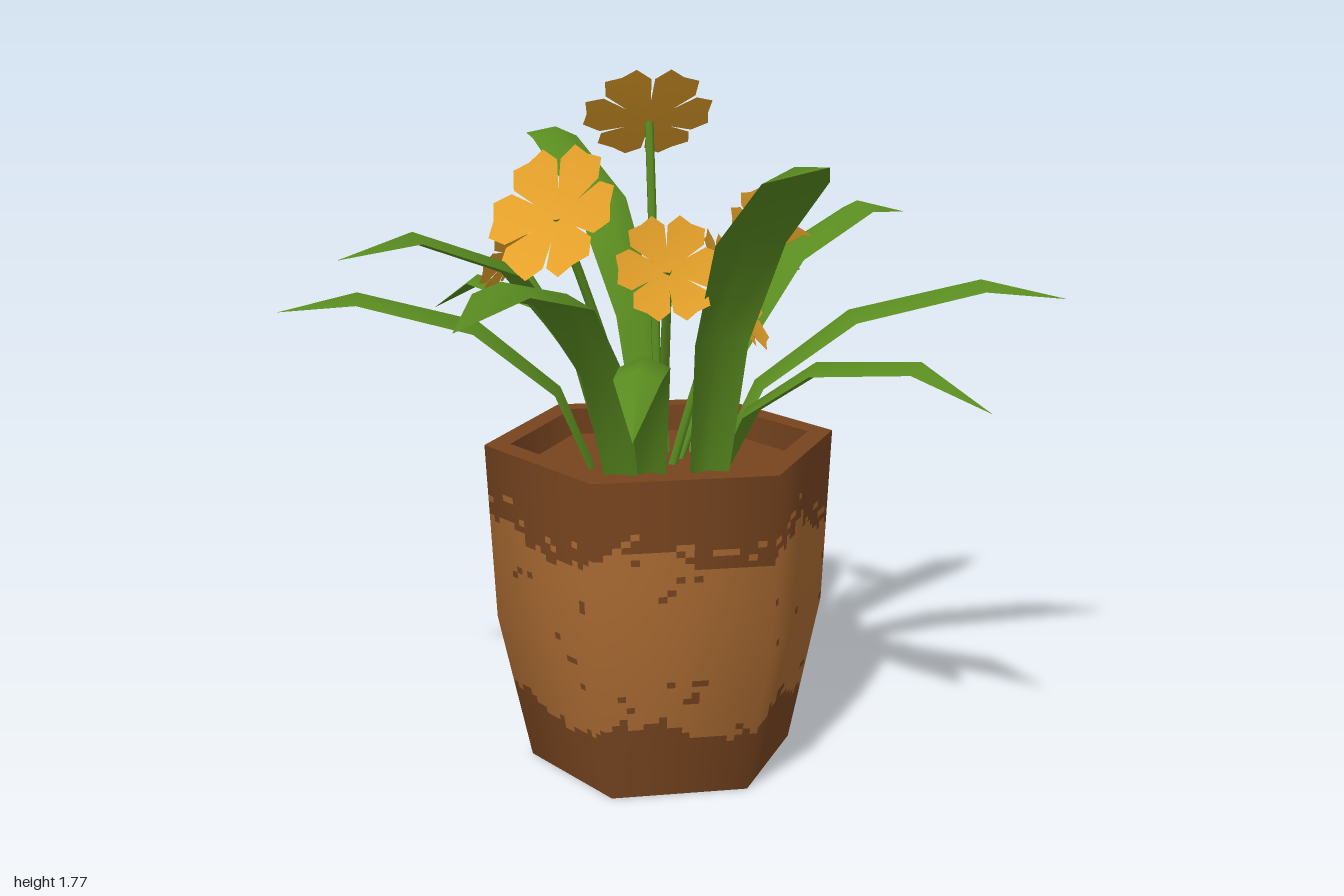
import * as THREE from 'three';

const mat = (name, color, side = THREE.FrontSide) => {
  const m = new THREE.MeshStandardMaterial({ color, side });
  m.name = name;
  return m;
};
const darkClay = mat('darkClay', 0x77441f, THREE.DoubleSide);
const lightClay = mat('lightClay', 0xa96a32);
const leafGreen = mat('leafGreen', 0x5a8c20, THREE.DoubleSide);
const petalYellow = mat('petalYellow', 0xe7a22a, THREE.DoubleSide);

const POT_X = -0.055;
const SOIL_Y = 0.76;
const V = (p) => new THREE.Vector3(...p);

function add(parent, name, geometry, material) {
  const mesh = new THREE.Mesh(geometry, material);
  mesh.name = name;
  parent.add(mesh);
  return mesh;
}

function indexed(pos, idx) {
  const g = new THREE.BufferGeometry();
  g.setAttribute('position', new THREE.Float32BufferAttribute(pos, 3));
  g.setIndex(idx);
  g.computeVertexNormals();
  return g;
}

// repeatable noise for the mottled glaze
const hash = (a, b) => {
  const s = Math.sin(a * 127.1 + b * 311.7) * 43758.5453;
  return s - Math.floor(s);
};

// glaze rule: light belt between two ragged dark bands, with specks
function isLight(angle, y, row) {
  const a = Math.abs(angle);
  const k = Math.round((a * 60) / Math.PI);
  const ragged = (hash(k, 3) - 0.5) * 0.03;
  const top = 0.64 - 0.035 * Math.cos(5 * a) + ragged;
  const bottom = 0.18 - 0.03 * Math.cos(5 * a) + ragged;
  const n = hash(k, row);
  if (y > top) return y < top + 0.07 && n < 0.15;
  if (y < bottom) return false;
  return n > 0.025;
}

// six-sided pot wall, smooth shaded, two colour groups
function wallGeometry() {
  const perSide = 20, cols = perSide * 6, rows = 52, H = 0.85;
  const radius = (y) => (y < 0.39 ? 0.345 + (0.083 * y) / 0.39 : 0.428 + (0.022 * (y - 0.39)) / 0.46);
  const pos = [], nor = [], dark = [], light = [];
  for (let j = 0; j <= rows; j++) {
    const y = (j / rows) * H, r = radius(y);
    const slope = -0.21 + 0.17 * THREE.MathUtils.smoothstep(y, 0.1, 0.7);
    for (let i = 0; i <= cols; i++) {
      const t = (i % perSide) / perSide;
      const a0 = (Math.floor(i / perSide) * Math.PI) / 3, a1 = a0 + Math.PI / 3;
      const x = r * (Math.cos(a0) * (1 - t) + Math.cos(a1) * t);
      const z = r * (Math.sin(a0) * (1 - t) + Math.sin(a1) * t);
      const d = Math.hypot(x, z);
      pos.push(x, y, z);
      nor.push(...new THREE.Vector3(x / d, slope, z / d).normalize());
    }
  }
  for (let j = 0; j < rows; j++) {
    for (let i = 0; i < cols; i++) {
      const a = j * (cols + 1) + i, b = a + 1, d = a + cols + 1, c = d + 1;
      let angle = ((i + 0.5) / cols) * Math.PI * 2;
      if (angle > Math.PI) angle -= Math.PI * 2;
      (isLight(angle, ((j + 0.5) / rows) * H, j) ? light : dark).push(b, a, d, b, d, c);
    }
  }
  const g = indexed(pos, [...dark, ...light]);
  g.setAttribute('normal', new THREE.Float32BufferAttribute(nor, 3));
  g.addGroup(0, dark.length, 0);
  g.addGroup(dark.length, light.length, 1);
  return g;
}

// underside, shaded as a smooth continuation of the wall
function baseGeometry() {
  const g = new THREE.CircleGeometry(0.345, 6);
  const { position, normal } = g.attributes;
  for (let i = 0; i < position.count; i++) {
    const n = new THREE.Vector3(position.getX(i), position.getY(i), 0.1).normalize();
    normal.setXYZ(i, n.x, n.y, n.z);
  }
  return g;
}

function buildPot() {
  const pot = new THREE.Group();
  pot.name = 'pot';
  pot.position.x = POT_X;
  add(pot, 'potWall', wallGeometry(), [darkClay, lightClay]);
  const rim = add(pot, 'potRim', new THREE.RingGeometry(0.385, 0.45, 6), darkClay);
  rim.rotation.x = -Math.PI / 2;
  rim.position.y = 0.85;
  const inner = add(pot, 'potInnerWall', new THREE.CylinderGeometry(0.385, 0.38, 0.08, 6, 1, true), darkClay);
  inner.rotation.y = Math.PI / 2;
  inner.position.y = 0.81;
  const soil = add(pot, 'soil', new THREE.CircleGeometry(0.382, 6), darkClay);
  soil.rotation.x = -Math.PI / 2;
  soil.position.y = 0.78;
  const base = add(pot, 'potBase', baseGeometry(), lightClay);
  base.rotation.x = Math.PI / 2;
  return pot;
}

// arching blade with a raised midrib: rises to a shoulder, then drops to the tip
function leafGeometry({ width, rootX, shoulder, tip }) {
  const end = V(tip);
  const root = new THREE.Vector3(rootX, SOIL_Y, end.z * 0.09);
  const bendY = SOIL_Y + (shoulder - SOIL_Y) * (0.79 + 1.2 * Math.max(shoulder - end.y, 0));
  const kneeY = SOIL_Y + (bendY - SOIL_Y) * 0.57;
  const path = [
    root,
    root.clone().lerp(end, 0.12).setY(kneeY),
    root.clone().lerp(end, 0.38).setY(bendY),
    root.clone().lerp(end, 0.75).setY(shoulder),
    end,
  ];
  const taper = [0.6, 0.8, 1, 0.9, 0];
  const along = end.clone().sub(root).setY(0).normalize();
  const side = new THREE.Vector3(-along.z, 0, along.x);
  const pos = [], idx = [];
  path.forEach((p, i) => {
    const tangent = path[Math.min(i + 1, 4)].clone().sub(path[Math.max(i - 1, 0)]).normalize();
    const up = side.clone().cross(tangent);
    const h = (taper[i] * width) / 2;
    for (const k of [-1, 0, 1]) {
      pos.push(...p.clone().addScaledVector(side, k * h).addScaledVector(up, k ? -0.35 * h : 0.1 * h));
    }
  });
  for (let i = 0; i < 4; i++) {
    for (const a of [i * 3, i * 3 + 1]) {
      idx.push(a, a + 3, a + 1);
      if (i < 3) idx.push(a + 1, a + 3, a + 4);
    }
  }
  return indexed(pos, idx);
}

// six notched petals as one shallow cup facing +z
function flowerGeometry(r) {
  const petal = [[-30, 0.4], [-28, 0.8], [-15, 1], [0, 0.93], [15, 1], [28, 0.8]];
  const pos = [0, 0, 0], idx = [];
  for (let k = 0; k < 6; k++) {
    for (const [deg, f] of petal) {
      const a = THREE.MathUtils.degToRad(deg + k * 60);
      pos.push(r * f * Math.cos(a), r * f * Math.sin(a), r * 0.18 * f);
    }
  }
  for (let i = 0; i < 36; i++) idx.push(0, i + 1, ((i + 1) % 36) + 1);
  return indexed(pos, idx);
}

const LEAVES = [
  { width: 0.17, rootX: 0.05, shoulder: 1.61, tip: [0.15, 1.64, 0.9] },
  { width: 0.15, rootX: -0.05, shoulder: 1.57, tip: [-0.31, 1.54, -0.9] },
  { width: 0.11, rootX: 0.06, shoulder: 1.09, tip: [0.33, 1.01, -0.74] },
  { width: 0.13, rootX: 0.06, shoulder: 1.4, tip: [0.68, 1.36, -0.38] },
  { width: 0.12, rootX: 0.08, shoulder: 1.24, tip: [0.99, 1.19, 0.07] },
  { width: 0.12, rootX: 0.08, shoulder: 1.11, tip: [0.65, 1.01, 0.51] },
  { width: 0.12, rootX: -0.09, shoulder: 1.17, tip: [-0.24, 1.06, 0.81] },
  { width: 0.15, rootX: -0.16, shoulder: 1.38, tip: [-0.61, 1.32, 0.87] },
  { width: 0.11, rootX: -0.17, shoulder: 1.44, tip: [-0.84, 1.4, 0.43] },
  { width: 0.12, rootX: -0.22, shoulder: 1.24, tip: [-1, 1.2, -0.03] },
  { width: 0.1, rootX: -0.14, shoulder: 1.2, tip: [-0.6, 1.09, -0.6] },
];

const FLOWERS = [
  { centre: [-0.05, 1.63, -0.22], facing: [0, 0.7, -0.7], radius: 0.17 },
  { centre: [-0.33, 1.45, 0.2], facing: [-0.55, 0.47, 0.58], radius: 0.175 },
  { centre: [0.11, 1.22, 0.02], facing: [0.8, 0.45, 0.3], radius: 0.17 },
  { centre: [-0.08, 1.33, 0.27], facing: [0.05, 0.35, 0.9], radius: 0.13 },
  { centre: [-0.41, 1.31, -0.14], facing: [-0.8, 0.4, -0.4], radius: 0.13 },
  { centre: [0.27, 1.32, -0.27], facing: [0.65, 0.35, -0.6], radius: 0.13 },
];

// bloom on a gently curved stem
function buildFlower({ centre, facing, radius }) {
  const flower = new THREE.Group();
  flower.name = 'flower';
  const c = V(centre);
  const root = new THREE.Vector3(POT_X + (c.x - POT_X) * 0.15, SOIL_Y, c.z * 0.15);
  const bend = root.clone().lerp(c, 0.55).setY(root.y + (c.y - root.y) * 0.62);
  const curve = new THREE.QuadraticBezierCurve3(root, bend, c);
  add(flower, 'stem', new THREE.TubeGeometry(curve, 5, 0.012, 5), leafGreen);
  const head = add(flower, 'petals', flowerGeometry(radius), petalYellow);
  head.position.copy(c);
  head.quaternion.setFromUnitVectors(new THREE.Vector3(0, 0, 1), V(facing).normalize());
  return flower;
}

export function createModel() {
  const model = new THREE.Group();
  model.name = 'pottedFlowers';
  model.add(buildPot());
  for (const leaf of LEAVES) add(model, 'leaf', leafGeometry(leaf), leafGreen);
  for (const flower of FLOWERS) model.add(buildFlower(flower));
  return model;
}
